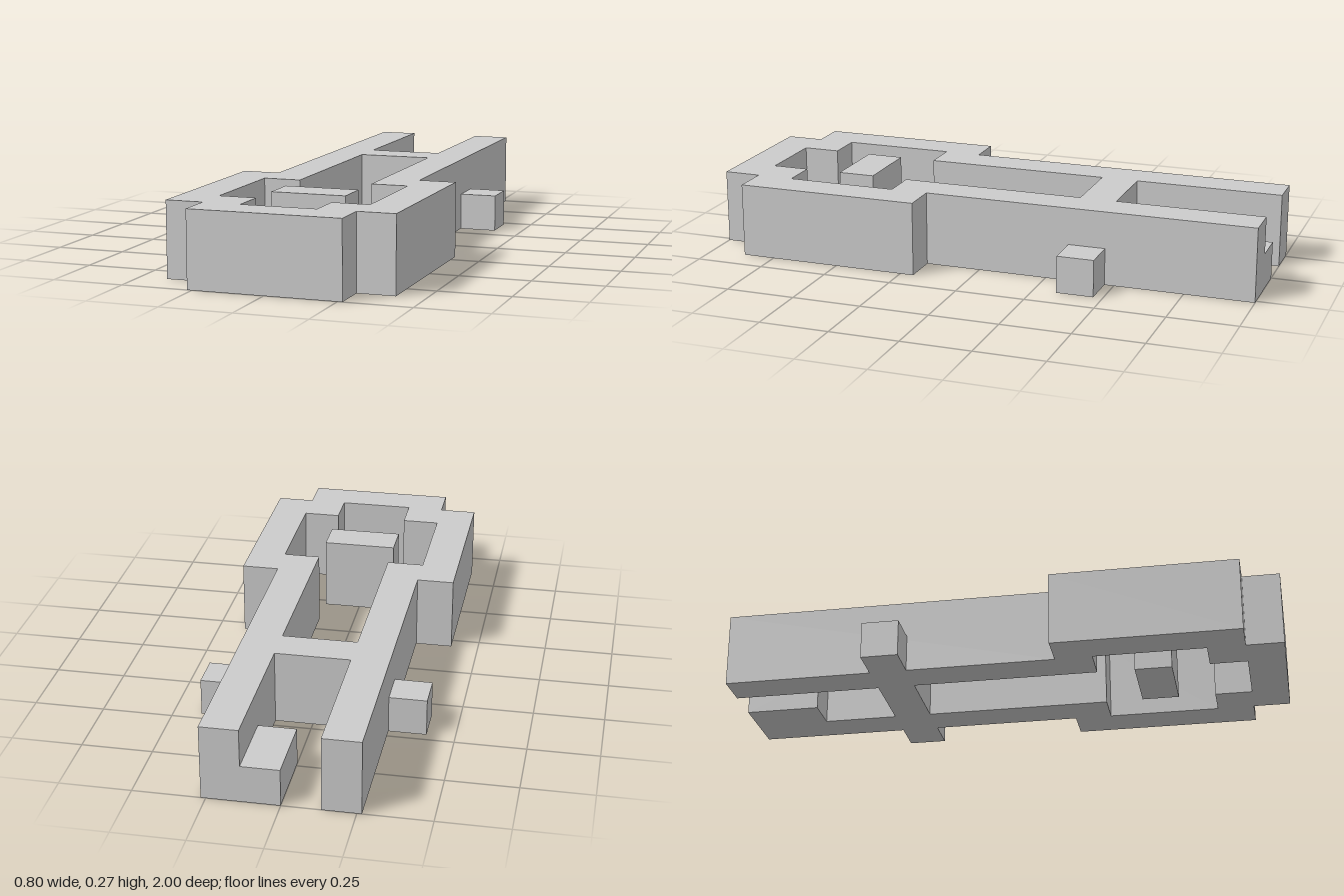
import * as THREE from 'three';

const U = 2 / 15; // modular grid unit: the model is 6 x 2 x 15 units
const material = new THREE.MeshStandardMaterial({ color: 0xcccccc, flatShading: true });

// Mirrors a half outline of [x, z] grid points across x = 0
function mirrored(half) {
  const other = half.map(([x, z]) => [-x, z]).reverse();
  return [...half, ...other].map(([x, z]) => new THREE.Vector2(x * U, z * U));
}

// Box given by its grid limits
function block(name, x0, x1, y0, y1, z0, z1) {
  const geometry = new THREE.BoxGeometry((x1 - x0) * U, (y1 - y0) * U, (z1 - z0) * U);
  const mesh = new THREE.Mesh(geometry, material);
  mesh.name = name;
  mesh.position.set((x0 + x1) / 2 * U, (y0 + y1) / 2 * U, (z0 + z1) / 2 * U);
  return mesh;
}

export function createModel() {
  const model = new THREE.Group();
  model.name = 'model';

  // Frame: two rails open at the back, a crossbar and a stepped ring in front
  const outline = new THREE.Shape(mirrored([
    [1, -3.5], [1, -7.5], [2, -7.5], [2, 1.5], [3, 1.5], [3, 6.5], [2, 6.5], [2, 7.5],
  ]));
  outline.holes.push(new THREE.Path(mirrored([
    [1, -2.5], [1, 2.5], [2, 2.5], [2, 5.5], [1, 5.5], [1, 6.5],
  ])));
  const geometry = new THREE.ExtrudeGeometry(outline, { depth: 2 * U, bevelEnabled: false });
  geometry.rotateX(Math.PI / 2).translate(0, 2 * U, 0);
  const frame = new THREE.Mesh(geometry, material);
  frame.name = 'frame';
  model.add(frame);

  // Free-standing bar inside the ring
  model.add(block('centreBar', -1, 1, 0, 2, 3.5, 4.5));

  // Half-height pegs on the outside of the rails
  model.add(block('leftPeg', 2, 3, 0, 1, -3.5, -2.5));
  model.add(block('rightPeg', -3, -2, 0, 1, -3.5, -2.5));

  // Half-height step inside the left rail at the back
  model.add(block('backStep', 0, 1, 0, 1, -7.5, -5.5));

  return model;
}
